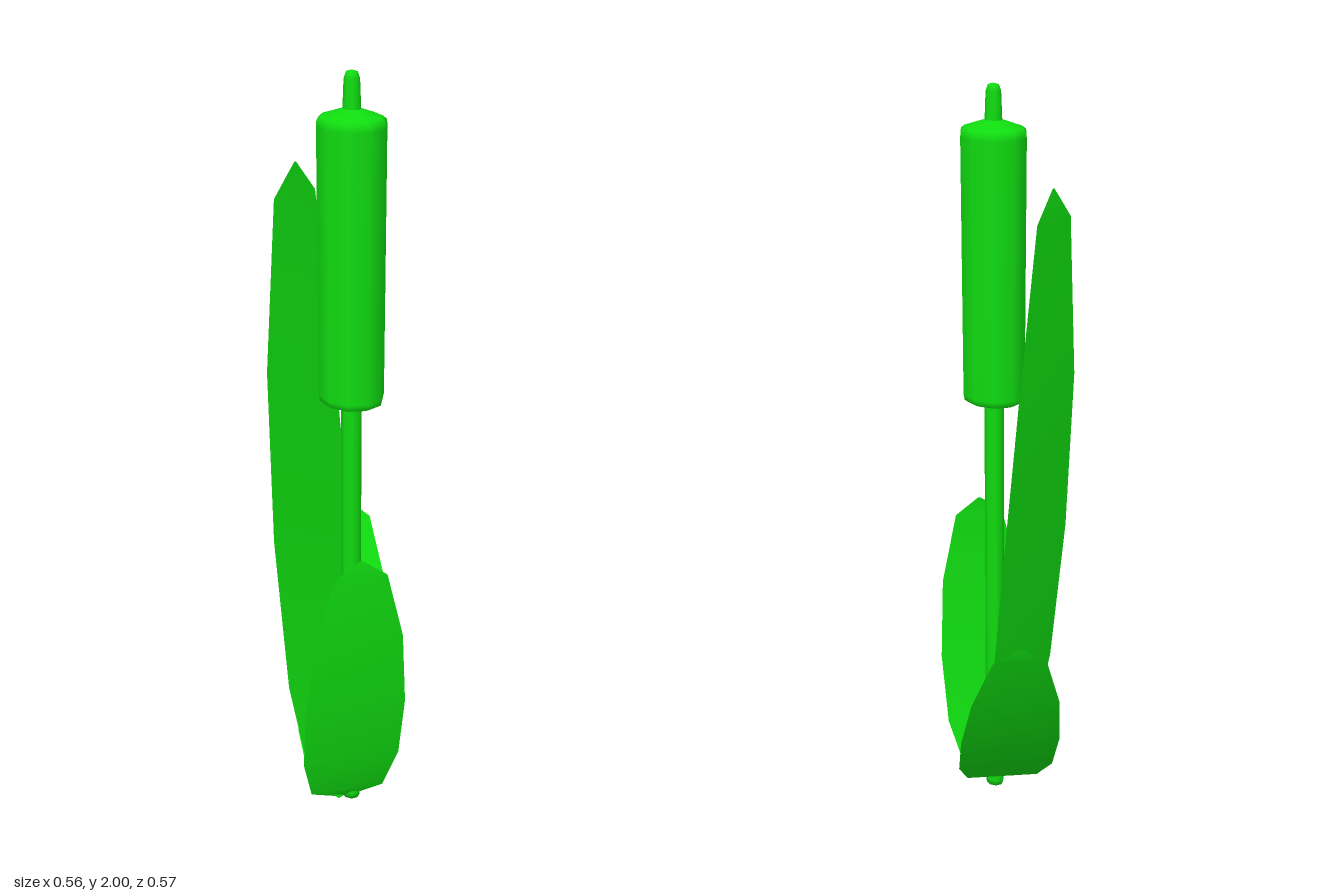
import * as THREE from 'three';

const green = new THREE.MeshStandardMaterial({ color: 0x10dc10, side: THREE.DoubleSide });
green.name = 'reed green';

// Half-width of a leaf at each row, base to tip
const HALF_WIDTHS = [0.022, 0.1, 0.131, 0.134, 0.115, 0.068, 0.003];

// Leaf ribbon: leans along dir (x, z); reach and heights give its bend row by row
function makeLeaf(name, dir, reach, heights) {
  const [dx, dz] = dir;
  const positions = [], index = [];
  HALF_WIDTHS.forEach((w, i) => {
    const x = dx * reach[i], z = dz * reach[i];
    for (const s of [-1, 0, 1]) positions.push(x - dz * w * s, heights[i], z + dx * w * s);
    if (i === 0) return;
    for (let k = 0; k < 2; k++) {
      const a = (i - 1) * 3 + k, b = i * 3 + k;
      index.push(a, b, a + 1, a + 1, b, b + 1);
    }
  });
  const geo = new THREE.BufferGeometry();
  geo.setAttribute('position', new THREE.Float32BufferAttribute(positions, 3));
  geo.setIndex(index);
  geo.computeVertexNormals();
  const leaf = new THREE.Mesh(geo, green);
  leaf.name = name;
  leaf.position.set(-0.1, 0, 0.09);
  return leaf;
}

// Turned part around the stalk axis, profile from bottom to top
function makeTurned(name, profile, sides) {
  const points = profile.map(([r, y]) => new THREE.Vector2(r, y));
  const geo = new THREE.LatheGeometry(points, sides, Math.PI / 2);
  const mesh = new THREE.Mesh(geo, green);
  mesh.name = name;
  mesh.position.set(-0.076, 0, 0.0915);
  mesh.scale.z = 1.12;
  return mesh;
}

export function createModel() {
  const group = new THREE.Group();
  group.name = 'reed';

  // Stalk, seed head and tip
  group.add(
    makeTurned('stalk', [[0, 0], [0.022, 0.003], [0.024, 0.02], [0.024, 1.2]], 8),
    makeTurned('seedHead', [
      [0, 1.178], [0.066, 1.18], [0.075, 1.185], [0.078, 1.2],
      [0.08, 1.87], [0.079, 1.885], [0.07, 1.893], [0.018, 1.912], [0, 1.914],
    ], 10),
    makeTurned('tip', [[0.021, 1.9], [0.018, 1.98], [0.013, 1.996], [0, 2]], 8),
  );

  // Leaves
  const upright = [0, 0.03, 0.076, 0.121, 0.156, 0.171, 0.168];
  group.add(
    makeLeaf('tallLeaf', [0, -1], upright, [0.01, 0.1, 0.38, 0.8, 1.25, 1.68, 1.76]),
    makeLeaf('frontLeaf', [-0.5, 0.866], upright, [0.01, 0.05, 0.18, 0.37, 0.59, 0.78, 0.825]),
    makeLeaf('backLeaf', [0.707, -0.707],
      [0, 0.042, 0.138, 0.258, 0.375, 0.466, 0.481],
      [0.01, 0.036, 0.13, 0.287, 0.47, 0.642, 0.687]),
  );
  return group;
}
